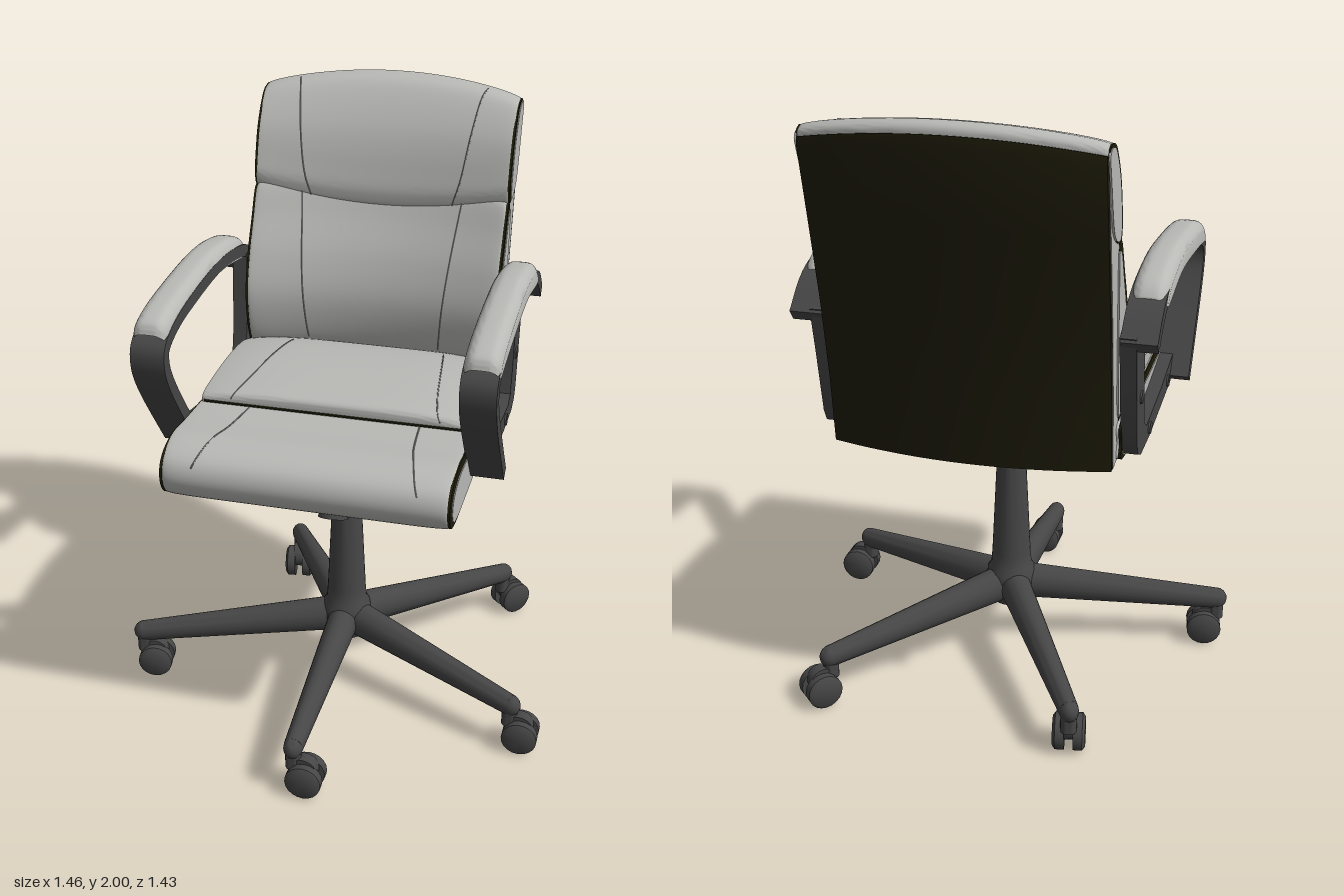
import * as THREE from 'three';
import { toCreasedNormals } from 'three/addons/utils/BufferGeometryUtils.js';

const mat = (name, color) => Object.assign(new THREE.MeshStandardMaterial({ color }), { name });
const leather = mat('light grey leather', 0xb9bab6);
const fabric = mat('dark olive fabric', 0x1e1c09);
const plastic = mat('dark grey plastic', 0x464646);
const thread = mat('grey seam', 0x858683);

const vec2 = p => new THREE.Vector2(...p);
const smooth = (pts, n = 56) => new THREE.SplineCurve([...pts, pts[0]].map(vec2)).getPoints(n).slice(0, -1).map(v => [v.x, v.y]);
const centre = sec => [0, 1].map(k => sec.reduce((s, p) => s + p[k], 0) / sec.length);
const inset = (sec, kz, ky, dz = 0, dy = 0) => {
  const [cz, cy] = centre(sec);
  return sec.map(([z, y]) => [cz + dz + (z - cz) * kz, cy + dy + (y - cy) * ky]);
};

function add(parent, name, geo, material, x = 0, y = 0, z = 0) {
  const mesh = new THREE.Mesh(toCreasedNormals(geo, 0.7), material);
  mesh.name = name;
  mesh.position.set(x, y, z);
  parent.add(mesh);
  return mesh;
}

// Places a (z, y) section point at u = x / half: edge shrinks it at the sides, warp bends it
function placer(sec, { warp = (z, y) => [z, y], edge = 1 }) {
  const [cz, cy] = centre(sec);
  return ([z, y], u) => {
    const s = edge + (1 - edge) * Math.sqrt(Math.max(0, 1 - u ** 10));
    return warp(cz + (z - cz) * s, cy + (y - cy) * s, u);
  };
}

// Sweeps a closed (z, y) section across x
function loft(section, half, opts = {}) {
  const { steps = 28 } = opts;
  const sec = THREE.ShapeUtils.isClockWise(section.map(vec2)) ? [...section].reverse() : section;
  const place = placer(sec, opts), n = sec.length, pos = [], idx = [];
  for (let j = 0; j <= steps; j++) {
    const u = Math.sin((j / steps - 0.5) * Math.PI);
    for (const p of sec) {
      const [z, y] = place(p, u);
      pos.push(u * half, y, z);
    }
  }
  for (let j = 0; j < steps; j++) for (let i = 0; i < n; i++) {
    const a = j * n + i, b = j * n + (i + 1) % n;
    idx.push(a, a + n, b, b, a + n, b + n);
  }
  const e = steps * n;
  for (const [a, b, c] of THREE.ShapeUtils.triangulateShape(sec.map(vec2), []))
    idx.push(a, b, c, e + a, e + c, e + b);
  const geo = new THREE.BufferGeometry();
  geo.setAttribute('position', new THREE.Float32BufferAttribute(pos, 3));
  geo.setIndex(idx);
  return geo;
}

// Round bar from a to b
function bar(parent, name, a, b, ra, rb, material = plastic) {
  const A = new THREE.Vector3(...a), B = new THREE.Vector3(...b), d = B.clone().sub(A);
  const mesh = add(parent, name, new THREE.CylinderGeometry(rb, ra, d.length(), 20), material);
  mesh.position.copy(A).add(B).multiplyScalar(0.5);
  mesh.quaternion.setFromUnitVectors(new THREE.Vector3(0, 1, 0), d.normalize());
  return mesh;
}

// Mirrored stitched seams along part of a swept section, x running from xa to xb
function seams(parent, sec, from, to, half, opts, xa, xb) {
  const place = placer(sec, opts), pts = sec.slice(from, to + 1);
  for (const s of [-1, 1]) {
    const curve = new THREE.CatmullRomCurve3(pts.map((p, i) => {
      const x = xa + (xb - xa) * i / (pts.length - 1);
      const [z, y] = place(p, x / half);
      return new THREE.Vector3(s * x, y, z);
    }));
    add(parent, 'seam', new THREE.TubeGeometry(curve, 30, 0.0025, 5), thread);
  }
}

// Dark welt plate with a smaller leather panel on both sides
function sidePanels(parent, name, welt, panel, x) {
  for (const s of [-1, 1]) {
    add(parent, name + 'Welt', loft(welt, .004, { steps: 1 }), fabric, s * x);
    add(parent, name + 'SidePanel', loft(panel, .003, { steps: 1 }), leather, s * (x + .004));
  }
}

function buildBackrest(chair) {
  const g = new THREE.Group();
  g.name = 'backrest';
  chair.add(g);
  const bow = k => (z, y, u) => [z - k * (1 - u * u), y + 0.045 * (1 - u * u) * Math.max(0, (y - 1.4) / 0.55)];
  const shell = [[-.45, .938], [-.475, .935], [-.498, 1.15], [-.543, 1.42], [-.6, 1.68], [-.65, 1.9], [-.648, 1.925], [-.61, 1.92], [-.56, 1.68], [-.51, 1.42], [-.47, 1.15]];
  add(g, 'backShell', loft(shell, .435, { warp: bow(.06) }), fabric);
  const frame = [[-.40, .945], [-.46, .937], [-.482, 1.15], [-.525, 1.42], [-.58, 1.68], [-.628, 1.915], [-.56, 1.915], [-.5, 1.75], [-.455, 1.6], [-.405, 1.4], [-.365, 1.15]];
  add(g, 'backFrame', loft(frame, .437, { warp: bow(.05) }), leather);

  // Lower cushion
  const low = smooth([[-.47, 1.66], [-.43, 1.65], [-.38, 1.55], [-.318, 1.42], [-.285, 1.28], [-.305, 1.13], [-.36, 1.05], [-.42, 1.1]]);
  const lowOpts = { warp: (z, y, u) => [z - .06 * (1 - u * u), y], edge: .92 };
  add(g, 'lumbarCushion', loft(low, .433, lowOpts), leather);
  seams(g, low, 8, 35, .433, lowOpts, .28, .23);
  sidePanels(g, 'lumbar', inset(low, .94, .93), inset(low, .8, .84, -.022), .435);

  // Head cushion, taller in the middle and wrapping over the top edge
  const head = smooth([[-.615, 1.957], [-.55, 1.936], [-.478, 1.84], [-.44, 1.73], [-.43, 1.67], [-.455, 1.63], [-.55, 1.68], [-.62, 1.86], [-.643, 1.935]], 63);
  const headOpts = {
    edge: .95,
    warp: (z, y, u) => {
      const w = 1 - u * u, back = THREE.MathUtils.clamp((-z - .45) / .17, 0, 1);
      return [z - (.025 + .035 * back) * w, y + w * (-.055 + .1 * (y - 1.63) / .325)];
    },
  };
  add(g, 'headCushion', loft(head, .437, headOpts), leather);
  seams(g, head, 3, 33, .437, headOpts, .325, .24);
  sidePanels(g, 'head', inset(head, .96, .96), inset(head, .88, .9, -.014), .436);
}

function buildSeat(chair) {
  const g = new THREE.Group();
  g.name = 'seat';
  chair.add(g);
  const sec = smooth([[.42, .917], [.1, .922], [-.38, .935], [-.42, 1], [-.40, 1.075], [0, 1.085], [.3, 1.095], [.43, 1.1], [.52, 1.065], [.545, 1.0], [.51, .935]], 66);
  add(g, 'seatBody', loft(sec, .448, { edge: .97 }), leather);
  seams(g, sec, 33, 50, .448, { edge: .97 }, .28, .35);
  sidePanels(g, 'seat', inset(sec, .985, .96), inset(sec, .93, .72, -.008, -.012), .448);

  // Raised pad with a dark welt along its front edge
  const pad = smooth([[.168, 1.1], [.155, 1.135], [.05, 1.15], [-.12, 1.158], [-.28, 1.145], [-.38, 1.1], [-.3, 1.06], [.12, 1.06]]);
  const opts = { warp: (z, y, u) => [z, y - .022 * u ** 4], edge: .97 };
  add(g, 'seatPad', loft(pad, .445, opts), leather);
  seams(g, pad, 4, 28, .445, opts, .345, .265);
  bar(g, 'padWelt', [-.435, 1.095, .168], [.435, 1.095, .168], .004, .004, fabric);
}

function buildArm(chair, s) {
  const g = new THREE.Group();
  g.name = s > 0 ? 'leftArm' : 'rightArm';
  chair.add(g);
  // Wide strip looping over the top and down the front
  const outer = new THREE.SplineCurve([[-.485, 1.35], [-.35, 1.45], [-.08, 1.49], [.24, 1.465], [.41, 1.415], [.45, 1.34], [.40, 1.22], [.215, .965]].map(vec2));
  const a = [], b = [];
  for (let i = 0; i <= 40; i++) {
    const p = outer.getPoint(i / 40), t = outer.getTangent(i / 40);
    a.push([p.x, p.y]);
    b.unshift([p.x + t.y * .042, p.y - t.x * .042]);
  }
  add(g, 'armStrip', loft([...a, ...b], .055, { steps: 1 }), plastic, s * .505);
  // Soft pad with rounded ends
  const pad = smooth([[.43, 1.425], [.40, 1.465], [.245, 1.498], [-.075, 1.522], [-.29, 1.496], [-.36, 1.455], [-.33, 1.445], [-.08, 1.475], [.24, 1.45]]);
  const warp = (z, y, u) => [.04 + (z - .04) * (1 - .06 * u ** 6), y - .028 * u ** 4];
  add(g, 'armPad', loft(pad, .056, { warp, steps: 16 }), leather, s * .507);
  // Mounting plate along the seat and up the backrest
  const plate = [[-.34, 1.42], [-.478, 1.36], [-.45, 1.22], [-.41, 1.0], [-.39, .96], [-.34, .937], [-.18, .935], [.2, .965], [.26, 1.05], [.22, 1.05], [0, 1.015], [-.25, .995], [-.29, 1.02], [-.32, 1.15]];
  add(g, 'armPlate', loft(plate, .025, { steps: 1 }), plastic, s * .473);
  for (const [z, y] of [[.13, .992], [-.2, .967], [-.37, 1.14], [-.39, 1.32]])
    bar(g, 'armScrew', [s * .49, y, z], [s * .504, y, z], .022, .02);
}

function buildMechanism(chair) {
  const g = new THREE.Group();
  g.name = 'mechanism';
  chair.add(g);
  add(g, 'mountPlate', new THREE.BoxGeometry(.26, .02, .33), plastic, 0, .908, -.015);
  add(g, 'tiltHousing', new THREE.BoxGeometry(.1, .04, .2), plastic, 0, .89, .02);
  bar(g, 'knobStem', [0, .9, .1], [0, .81, .14], .034, .034);
  bar(g, 'tensionKnob', [0, .83, .135], [0, .725, .178], .045, .05);
  bar(g, 'leverRod', [-.04, .875, -.07], [-.24, .868, -.13], .007, .007);
  bar(g, 'leverBend', [-.24, .868, -.13], [-.265, .855, -.17], .01, .012);
  add(g, 'leverHandle', new THREE.SphereGeometry(1, 16, 10), plastic, -.265, .85, -.18).scale.set(.034, .018, .045);
}

function buildBase(chair) {
  const g = new THREE.Group();
  g.name = 'base';
  chair.add(g);
  const profile = [[0, .17], [.065, .17], [.088, .23], [.082, .29], [.07, .31], [.066, .36], [.045, .8], [.034, .8], [.034, .92]];
  add(g, 'column', new THREE.LatheGeometry(profile.map(vec2), 28), plastic);
  // Each spoke: direction, length and castor swivel in degrees
  for (const [dir, len, yaw] of [[24, .69, 0], [90, .67, 0], [165, .72, -10], [240, .695, 80], [313, .7, -45]]) {
    const ang = THREE.MathUtils.degToRad(dir);
    const spoke = new THREE.Group();
    spoke.name = 'spoke';
    spoke.rotation.y = -ang;
    g.add(spoke);
    bar(spoke, 'spokeBar', [.02, .24, 0], [len, .163, 0], .064, .037).scale.z = .85;
    add(spoke, 'spokeTip', new THREE.SphereGeometry(.037, 16, 10), plastic, len, .163, 0).scale.z = .85;
    // Twin-wheel castor
    const castor = new THREE.Group();
    castor.name = 'castor';
    castor.position.set(len * Math.cos(ang), 0, len * Math.sin(ang));
    castor.rotation.y = -THREE.MathUtils.degToRad(yaw);
    g.add(castor);
    bar(castor, 'castorStem', [0, .09, 0], [0, .16, 0], .026, .026);
    bar(castor, 'castorHood', [.035, .086, -.02], [.035, .086, .02], .046, .046);
    for (const s of [-1, 1]) {
      bar(castor, 'castorWheel', [.04, .059, s * .014], [.04, .059, s * .043], .059, .059);
      bar(castor, 'wheelCap', [.04, .059, s * .043], [.04, .059, s * .052], .059, .046);
    }
  }
}

export function createModel() {
  const chair = new THREE.Group();
  chair.name = 'officeChair';
  chair.position.x = 0.01;
  buildBackrest(chair);
  buildSeat(chair);
  for (const s of [-1, 1]) buildArm(chair, s);
  buildMechanism(chair);
  buildBase(chair);
  const model = new THREE.Group();
  model.name = 'model';
  model.add(chair);
  return model;
}
